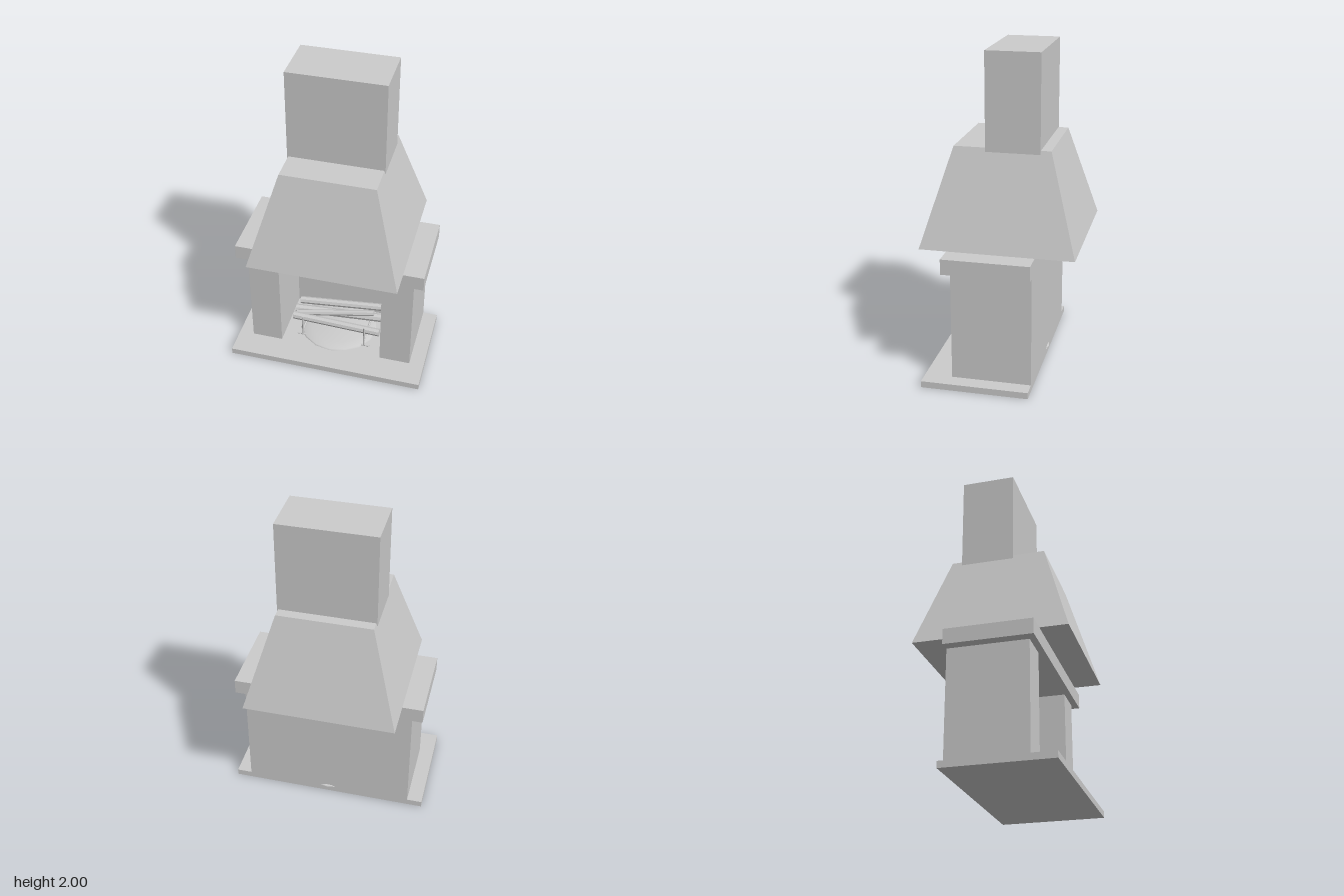
import * as THREE from 'three';

const material = new THREE.MeshStandardMaterial({ color: 0xcccccc, flatShading: true });
const smooth = new THREE.MeshStandardMaterial({ color: 0xcccccc, side: THREE.DoubleSide });

export function createModel() {
  const model = new THREE.Group();
  model.name = 'fireplace';

  const add = (name, geometry, mat = material) => {
    const mesh = new THREE.Mesh(geometry, mat);
    mesh.name = name;
    model.add(mesh);
    return mesh;
  };
  // Box given by its minimum and maximum corners
  const box = (name, [x0, y0, z0], [x1, y1, z1]) =>
    add(name, new THREE.BoxGeometry(x1 - x0, y1 - y0, z1 - z0))
      .position.set((x0 + x1) / 2, (y0 + y1) / 2, (z0 + z1) / 2);
  // Cylinder running between two points
  const rod = (name, a, b, radius, sides) => {
    const start = new THREE.Vector3(...a), end = new THREE.Vector3(...b);
    const dir = end.clone().sub(start);
    const mesh = add(name, new THREE.CylinderGeometry(radius, radius, dir.length(), sides));
    mesh.position.copy(start).add(end).multiplyScalar(0.5);
    mesh.quaternion.setFromUnitVectors(new THREE.Vector3(0, 1, 0), dir.normalize());
  };

  // Masonry
  box('hearthSlab', [-0.63, 0, -0.23], [0.63, 0.04, 0.43]);
  box('backWall', [-0.335, 0.04, -0.23], [0.335, 0.735, -0.15]);
  box('leftPillar', [0.335, 0.04, -0.23], [0.535, 0.735, 0.26]);
  box('rightPillar', [-0.535, 0.04, -0.23], [-0.335, 0.735, 0.26]);
  box('mantel', [-0.6, 0.735, -0.233], [0.6, 0.83, 0.3]);
  box('chimney', [-0.3, 1.4, -0.23], [0.3, 2, 0.1]);

  // Tapered square hood
  const hood = new THREE.CylinderGeometry(0.293 * Math.SQRT2, 0.47 * Math.SQRT2, 0.6, 4);
  hood.rotateY(Math.PI / 4);
  add('hood', hood).position.y = 1.13;

  // Low mound of ash
  const ashProfile = [[0.26, 0.04], [0.255, 0.05], [0.2, 0.062], [0.1, 0.073], [0, 0.077]]
    .map(([r, y]) => new THREE.Vector2(r, y));
  add('ashMound', new THREE.LatheGeometry(ashProfile, 16), smooth).position.z = 0.02;

  // Pair of andirons: front post, splayed foot, log bar and rear leg
  for (const x of [-0.21, 0.21]) {
    rod('andironPost', [x, 0.04, 0.18], [x, 0.2, 0.18], 0.006, 6);
    rod('andironBar', [x, 0.09, 0.18], [x, 0.09, -0.11], 0.007, 6);
    rod('andironLeg', [x, 0.09, -0.11], [x, 0.04, -0.11], 0.006, 6);
    rod('andironFoot', [x - 0.04, 0.046, 0.18], [x + 0.04, 0.046, 0.18], 0.006, 6);
  }

  // Stacked logs
  rod('frontLog', [-0.3, 0.115, 0.09], [0.3, 0.125, 0.12], 0.026, 8);
  rod('middleLog', [-0.3, 0.125, 0.03], [0.3, 0.145, 0.0], 0.028, 8);
  rod('backLog', [-0.29, 0.13, -0.05], [0.28, 0.175, -0.07], 0.025, 8);
  rod('topLog', [-0.28, 0.125, 0.07], [0.24, 0.205, 0.03], 0.02, 8);

  return model;
}
